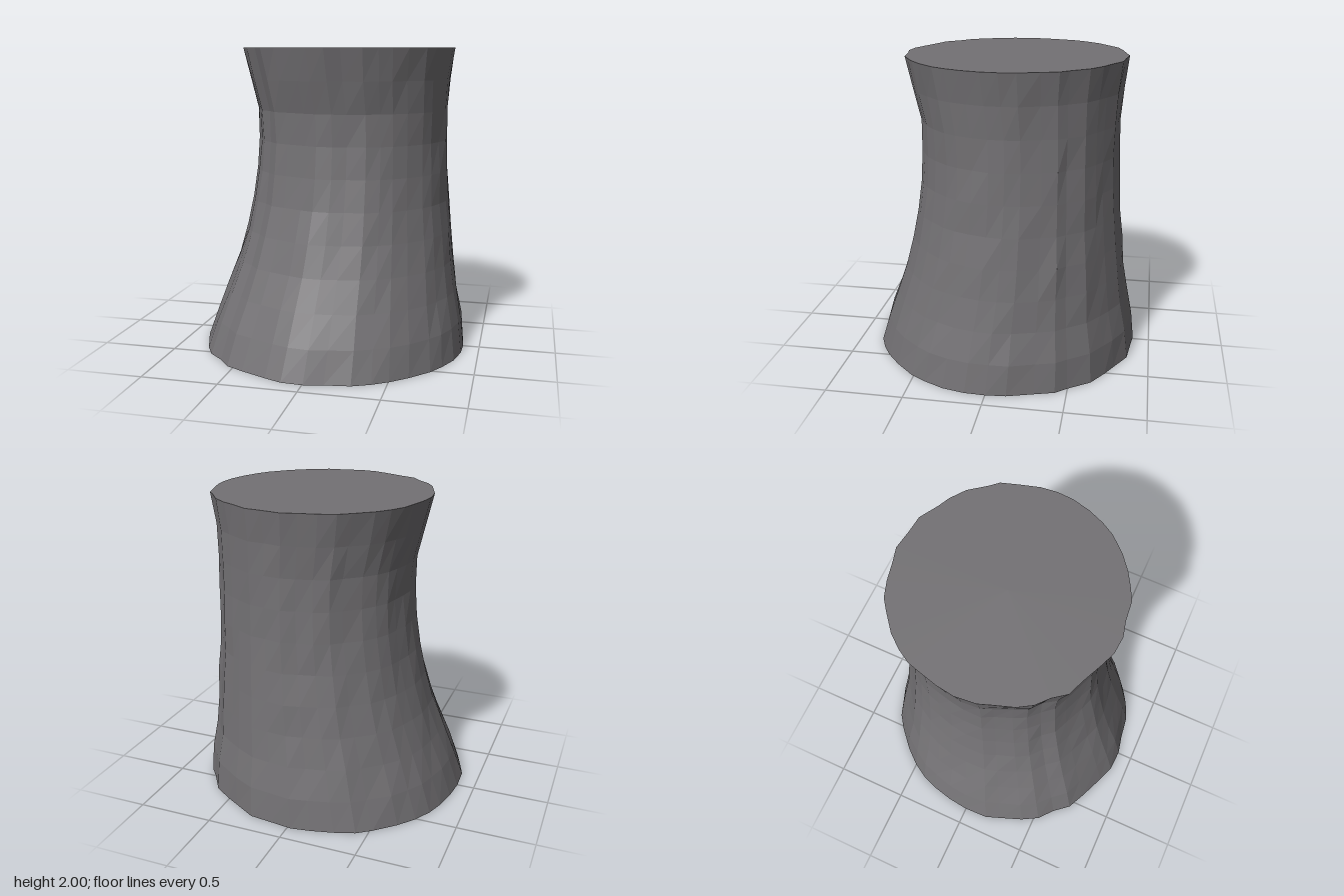
import * as THREE from 'three';

const SIDES = 40, ROWS = 10, HEIGHT = 2;
// Radius and sideways lean of the rock at evenly spaced heights, bottom to top
const RADIUS = [0.89, 0.845, 0.787, 0.738, 0.7, 0.667, 0.647, 0.636, 0.64, 0.668, 0.705];
const LEAN = [0, 0.02, 0.038, 0.06, 0.077, 0.088, 0.097, 0.1, 0.097, 0.08, 0.07];

// Repeatable noise from -1 to 1
function noise(a, b) {
  const s = Math.sin(a * 127.1 + b * 311.7) * 43758.5453;
  return 2 * (s - Math.floor(s)) - 1;
}

// Shapes a capped cylinder into the waisted, leaning trunk with chipped columns
function trunkGeometry() {
  const geometry = new THREE.CylinderGeometry(1, 1, HEIGHT, SIDES, ROWS);
  const p = geometry.attributes.position;
  for (let i = 0; i < p.count; i++) {
    const y = p.getY(i) + HEIGHT / 2;
    const row = Math.round((y / HEIGHT) * ROWS);
    const onRim = Math.hypot(p.getX(i), p.getZ(i)) > 0.5;
    const step = Math.round((Math.atan2(p.getX(i), p.getZ(i)) / (2 * Math.PI)) * SIDES);
    const column = (step + SIDES) % SIDES;
    const chip = 0.009 * noise(column, 1) + 0.005 * noise(column, row + 5);
    const r = onRim ? RADIUS[row] + chip : 0;
    const angle = ((column + 0.2 * noise(column, 3)) / SIDES) * 2 * Math.PI;
    p.setXYZ(i, LEAN[row] + r * Math.sin(angle), y, -LEAN[row] + r * Math.cos(angle));
  }
  geometry.computeVertexNormals();
  return geometry;
}

export function createModel() {
  const group = new THREE.Group();
  group.name = 'rockPillar';
  const stone = new THREE.MeshStandardMaterial({ color: 0x737174, flatShading: true });
  stone.name = 'grey stone';
  const trunk = new THREE.Mesh(trunkGeometry(), stone);
  trunk.name = 'trunk';
  group.add(trunk);
  return group;
}
